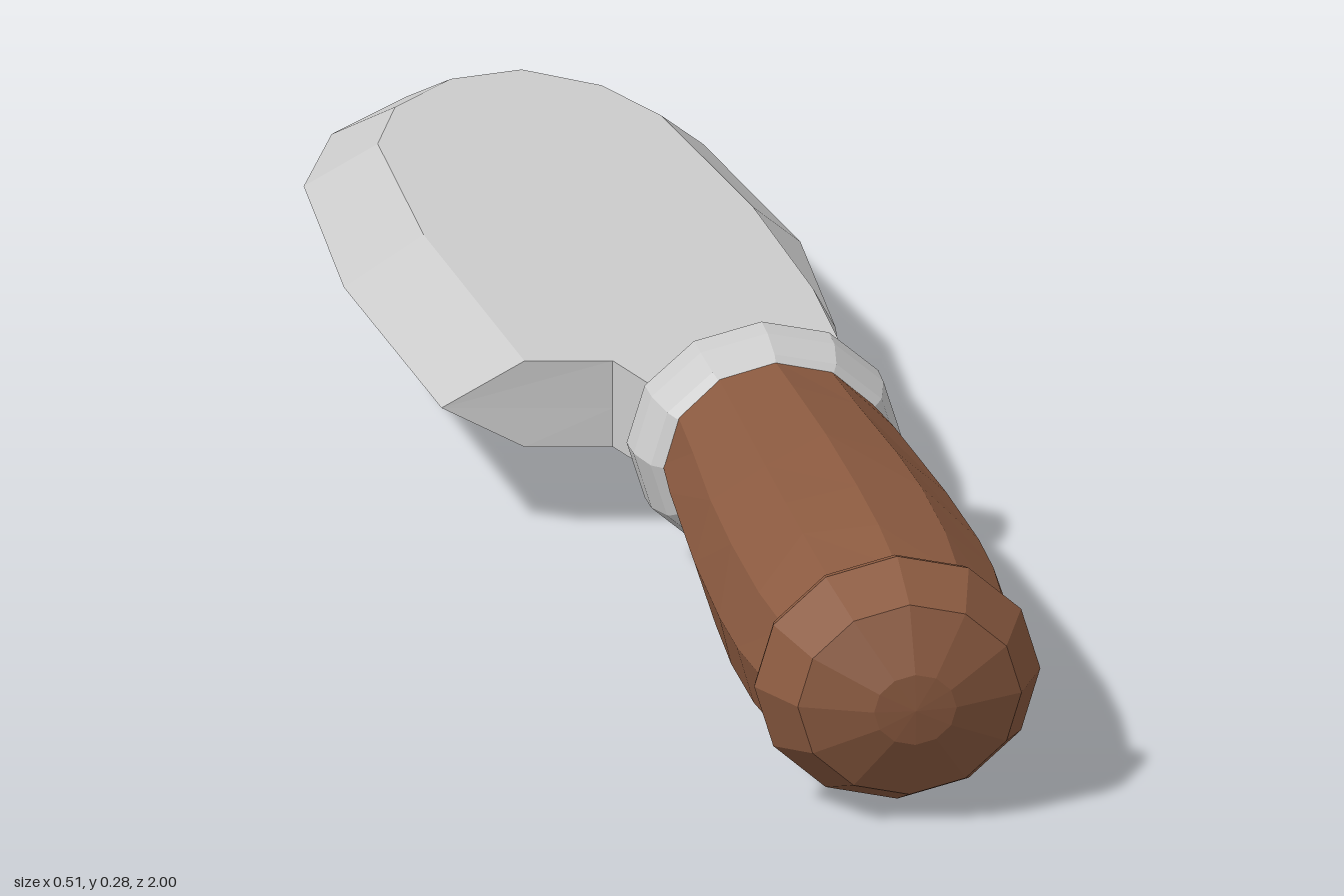
import * as THREE from 'three';

const SIDES = 12;
const AXIS_X = 0.1, AXIS_Y = 0.14;

// Faceted solid turned about the z axis; profile is [radius, z], flattened in y
function turned(name, profile, flatten, material, wobble = 0) {
  const points = profile.map(([r, z]) => new THREE.Vector2(r, z));
  const geometry = new THREE.LatheGeometry(points, SIDES);
  geometry.rotateX(Math.PI / 2);
  geometry.scale(1, flatten, 1);
  // Hand-carved unevenness along the length, leaving the end rings alone
  const p = geometry.attributes.position;
  const n = profile.length;
  for (let i = 0; i < p.count; i++) {
    const ring = i % n, side = Math.floor(i / n) % SIDES;
    if (ring === 0 || ring === n - 1) continue;
    p.setZ(i, p.getZ(i) + wobble * Math.sin(side * 2.4 + ring * 1.7));
  }
  geometry.computeVertexNormals();
  const mesh = new THREE.Mesh(geometry, material);
  mesh.position.set(AXIS_X, AXIS_Y, 0);
  mesh.name = name;
  return mesh;
}

// Outline from the guard round the tip: [edge x, edge z, flat x, flat z]
const OUTLINE = [
  [0.19, 0.12, 0.19, 0.12],
  [0.212, 0, 0.205, 0],
  [0.237, -0.18, 0.208, -0.16],
  [0.25, -0.45, 0.193, -0.42],
  [0.205, -0.77, 0.15, -0.72],
  [0.13, -0.92, 0.105, -0.825],
  [0.045, -1, 0.03, -0.89],
  [-0.08, -0.975, -0.05, -0.875],
  [-0.18, -0.875, -0.125, -0.8],
  [-0.24, -0.72, -0.165, -0.69],
  [-0.257, -0.4, -0.17, -0.4],
  [-0.225, -0.01, -0.138, 0.008],
  [-0.045, 0.025, -0.045, 0.025],
  [-0.015, 0.12, -0.015, 0.12],
];

// Flat-faced blade with a bevel running to a sharp edge all round
function bladeGeometry() {
  const n = OUTLINE.length;
  const low = 0.103, edge = 0.147, high = 0.201;
  const vertices = [], index = [];
  for (const [, , x, z] of OUTLINE) vertices.push(x, low, z);
  for (const [x, z] of OUTLINE) vertices.push(x, edge, z);
  for (const [, , x, z] of OUTLINE) vertices.push(x, high, z);

  // Bevels
  for (let ring = 0; ring < 2; ring++) {
    for (let i = 0; i < n; i++) {
      const a = ring * n + i, b = ring * n + (i + 1) % n;
      index.push(a, b, b + n, a, b + n, a + n);
    }
  }
  // Upper and lower flats
  const contour = OUTLINE.map(([, , x, z]) => new THREE.Vector2(x, -z));
  for (const [a, b, c] of THREE.ShapeUtils.triangulateShape(contour, [])) {
    index.push(a + 2 * n, b + 2 * n, c + 2 * n, a, c, b);
  }
  const geometry = new THREE.BufferGeometry();
  geometry.setAttribute('position', new THREE.Float32BufferAttribute(vertices, 3));
  geometry.setIndex(index);
  geometry.computeVertexNormals();
  return geometry;
}

export function createModel() {
  const steel = new THREE.MeshStandardMaterial({ color: 0xcccccc, flatShading: true });
  const wood = new THREE.MeshStandardMaterial({ color: 0x8b5a40, flatShading: true });
  const model = new THREE.Group();
  model.name = 'knife';

  const blade = new THREE.Mesh(bladeGeometry(), steel);
  blade.name = 'blade';
  model.add(blade);

  // Collar between blade and handle
  model.add(turned('guard', [
    [0, 0.095], [0.13, 0.095], [0.147, 0.115], [0.146, 0.15], [0.135, 0.19], [0.122, 0.202], [0, 0.202],
  ], 0.87, steel));

  // Swelling grip
  model.add(turned('handle', [
    [0.122, 0.19], [0.131, 0.3], [0.146, 0.5], [0.152, 0.65], [0.151, 0.77], [0.14, 0.89],
  ], 0.9, wood, 0.022));

  // Rounded end knob
  model.add(turned('pommel', [
    [0.13, 0.875], [0.152, 0.877], [0.156, 0.892], [0.122, 0.963], [0.045, 0.996], [0, 1],
  ], 0.885, wood));

  return model;
}
